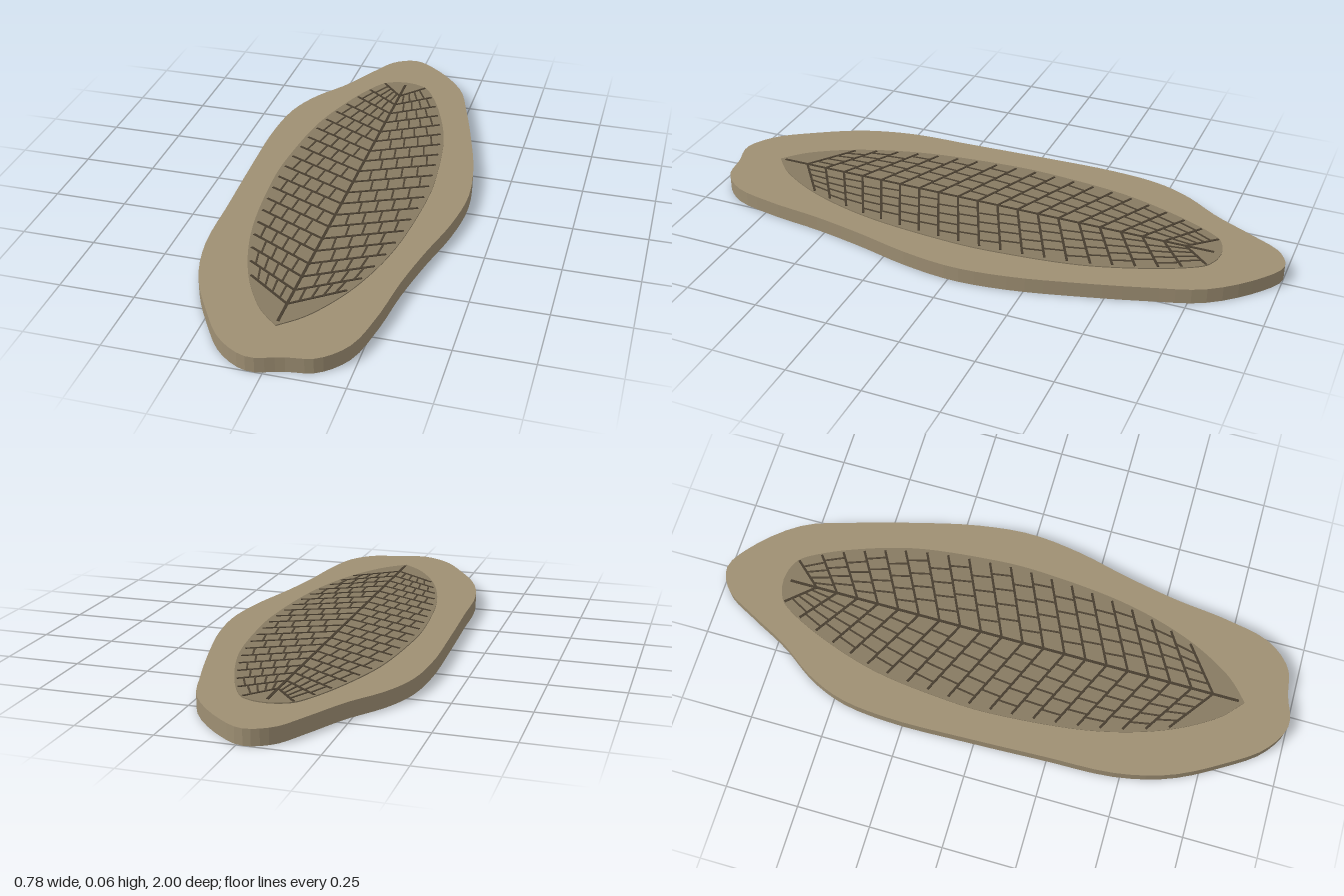
import * as THREE from 'three';
import { mergeGeometries } from 'three/addons/utils/BufferGeometryUtils.js';

const SLAB_TOP = 0.052, LEAF_TOP = 0.0555, VEIN_TOP = 0.0575, MID_X = -0.01;

// Slab outline as [x, z], clockwise seen from above
const OUTLINE = [
  [-0.02, -1], [0.08, -0.94], [0.2, -0.8], [0.26, -0.63], [0.32, -0.42], [0.37, -0.21],
  [0.39, -0.02], [0.37, 0.16], [0.325, 0.35], [0.29, 0.53], [0.265, 0.72], [0.225, 0.875],
  [0.15, 0.955], [0.055, 0.975], [-0.045, 1], [-0.145, 0.945], [-0.235, 0.82], [-0.32, 0.66],
  [-0.365, 0.48], [-0.375, 0.24], [-0.385, -0.02], [-0.39, -0.29], [-0.37, -0.47],
  [-0.32, -0.595], [-0.235, -0.72], [-0.16, -0.865], [-0.1, -0.965],
];

// Right margin of the leaf as [half width, z], from rounded base to pointed tip
const MARGIN = new THREE.SplineCurve([
  [0, -0.795], [0.05, -0.785], [0.1, -0.745], [0.17, -0.6], [0.235, -0.39], [0.265, -0.15],
  [0.27, 0.05], [0.24, 0.35], [0.175, 0.585], [0.085, 0.755], [0, 0.84],
].map(([w, z]) => new THREE.Vector2(w, z)));
const marginPoints = MARGIN.getPoints(60);

function halfWidth(z) {
  for (let i = 1; i < marginPoints.length; i++) {
    const a = marginPoints[i - 1], b = marginPoints[i];
    if (z >= a.y && z <= b.y) return THREE.MathUtils.mapLinear(z, a.y, b.y, a.x, b.x);
  }
  return 0;
}

// Flat plate from points (x, z), lying between two heights
function plate(points, bottom, top) {
  const shape = new THREE.Shape(points.map(p => new THREE.Vector2(p.x, -p.y)));
  const geo = new THREE.ExtrudeGeometry(shape, { depth: top - bottom, bevelEnabled: false });
  return geo.rotateX(-Math.PI / 2).translate(0, bottom, 0);
}

// Thin raised bar between two points (x, z)
function bar(a, b, width) {
  const d = b.clone().sub(a), h = VEIN_TOP - SLAB_TOP;
  const geo = new THREE.BoxGeometry(d.length(), h, width);
  geo.rotateY(-Math.atan2(d.y, d.x));
  return geo.translate((a.x + b.x) / 2, SLAB_TOP + h / 2, (a.y + b.y) / 2);
}

export function createModel() {
  const group = new THREE.Group();
  const add = (name, geo, color) => {
    const mesh = new THREE.Mesh(geo, new THREE.MeshStandardMaterial({ color }));
    mesh.name = name;
    group.add(mesh);
  };

  // Stone slab
  const outline = new THREE.CatmullRomCurve3(
    OUTLINE.map(([x, z]) => new THREE.Vector3(x, z, 0)), true);
  add('slab', plate(outline.getPoints(96).slice(0, -1), 0, SLAB_TOP), 0x9e8f73);

  // Leaf imprint
  const right = marginPoints.map(p => new THREE.Vector2(MID_X + p.x, p.y));
  const left = marginPoints.slice(1, -1).reverse()
    .map(p => new THREE.Vector2(MID_X - p.x, p.y));
  add('leaf', plate([...right, ...left], SLAB_TOP - 0.002, LEAF_TOP), 0x877a61);

  // Midrib
  add('midrib', bar(new THREE.Vector2(MID_X, -0.77), new THREE.Vector2(MID_X, 0.82), 0.009), 0x463c2e);

  // Side veins in V pairs, with staggered cross veins between neighbours
  const sideVeins = [], crossVeins = [], rows = 20;
  for (const side of [-1, 1]) {
    const point = (i, f) => {
      const z0 = -0.675 + i * 0.074, rise = 0.09 + 0.025 * Math.min(1, i / 5);
      const reach = halfWidth(z0 - rise) * 0.95;
      return new THREE.Vector2(MID_X + side * reach * f, z0 - rise * f);
    };
    for (let i = 0; i < rows; i++) {
      sideVeins.push(bar(point(i, 0), point(i, 1), 0.008));
      if (i === rows - 1) continue;
      for (let k = 0; k < 4; k++) {
        const f = 0.2 + k * 0.2 + (i % 2 ? 0.05 : -0.03);
        crossVeins.push(bar(point(i, f), point(i + 1, f + 0.03), 0.006));
      }
    }
  }
  add('sideVeins', mergeGeometries(sideVeins), 0x463c2e);
  add('crossVeins', mergeGeometries(crossVeins), 0x4c4233);
  return group;
}
